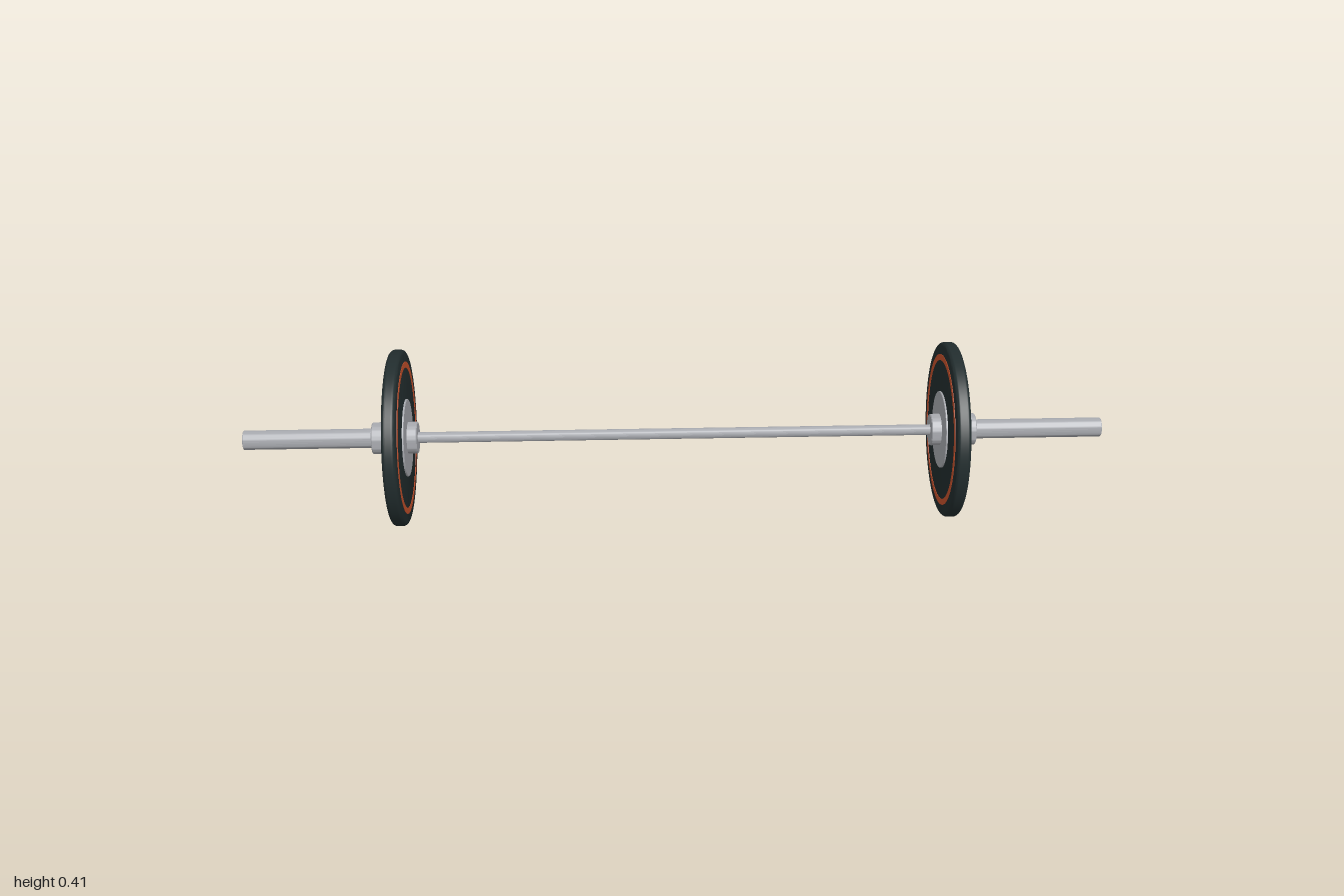
import * as THREE from 'three';
import { toCreasedNormals } from 'three/addons/utils/BufferGeometryUtils.js';

const mat = (name, color) => {
  const m = new THREE.MeshStandardMaterial({ color });
  m.name = name;
  return m;
};

export function createModel() {
  const steel = mat('steel', 0xa9abb0);
  const rubber = mat('dark rubber', 0x222d2e);
  const orange = mat('orange stripe', 0xc8522c);
  const model = new THREE.Group();
  model.name = 'barbell';
  const axisY = 0.205;

  // Lathe a [radius, offset] profile around the bar's x axis
  const turned = (name, profile, material, x, parent, segments = 64) => {
    const points = profile.map(([r, h]) => new THREE.Vector2(r, h));
    const geometry = toCreasedNormals(new THREE.LatheGeometry(points, segments), 0.45);
    geometry.rotateZ(-Math.PI / 2);
    const mesh = new THREE.Mesh(geometry, material);
    mesh.name = name;
    mesh.position.x = x;
    parent.add(mesh);
    return mesh;
  };

  // Solid rod with a small chamfer at both ends
  const rod = (r, half, c) => [
    [0, -half], [r - c, -half], [r, -half + c], [r, half - c], [r - c, half], [0, half],
  ];

  // Thin flat ring, closed on all sides
  const ring = (inner, outer, half) => [
    [inner, -half], [outer, -half], [outer, half], [inner, half], [inner, -half],
  ];

  // Plate with a rounded tread
  const R = 0.205, W = 0.016, round = 0.01;
  const plate = [[0, -W]];
  for (let i = 0; i <= 6; i++) {
    const a = -Math.PI / 2 + (i / 6) * (Math.PI / 2);
    plate.push([R - round + round * Math.cos(a), -W + round + round * Math.sin(a)]);
  }
  for (let i = 0; i <= 6; i++) {
    const a = (i / 6) * (Math.PI / 2);
    plate.push([R - round + round * Math.cos(a), W - round + round * Math.sin(a)]);
  }
  plate.push([0, W]);

  const bar = new THREE.Group();
  bar.name = 'bar';
  bar.position.y = axisY;
  model.add(bar);
  turned('shaft', rod(0.0125, 0.62, 0.001), steel, 0, bar, 32);

  for (const [side, s] of [['left', 1], ['right', -1]]) {
    const end = new THREE.Group();
    end.name = side + 'End';
    bar.add(end);
    turned('sleeve', rod(0.0225, 0.195, 0.001), steel, s * 0.805, end, 32);
    turned('collar', rod(0.037, 0.0525, 0.002), steel, s * 0.65, end, 48);
    turned('weightPlate', plate, rubber, s * 0.64, end, 96);
    turned('plateHub', rod(0.09, 0.02, 0.001), steel, s * 0.64, end);

    // Painted ring on each face of the plate
    for (const face of [-1, 1]) {
      turned('plateStripe', ring(0.163, 0.177, 0.001), orange, s * 0.64 + face * W, end, 96);
    }
  }
  return model;
}
